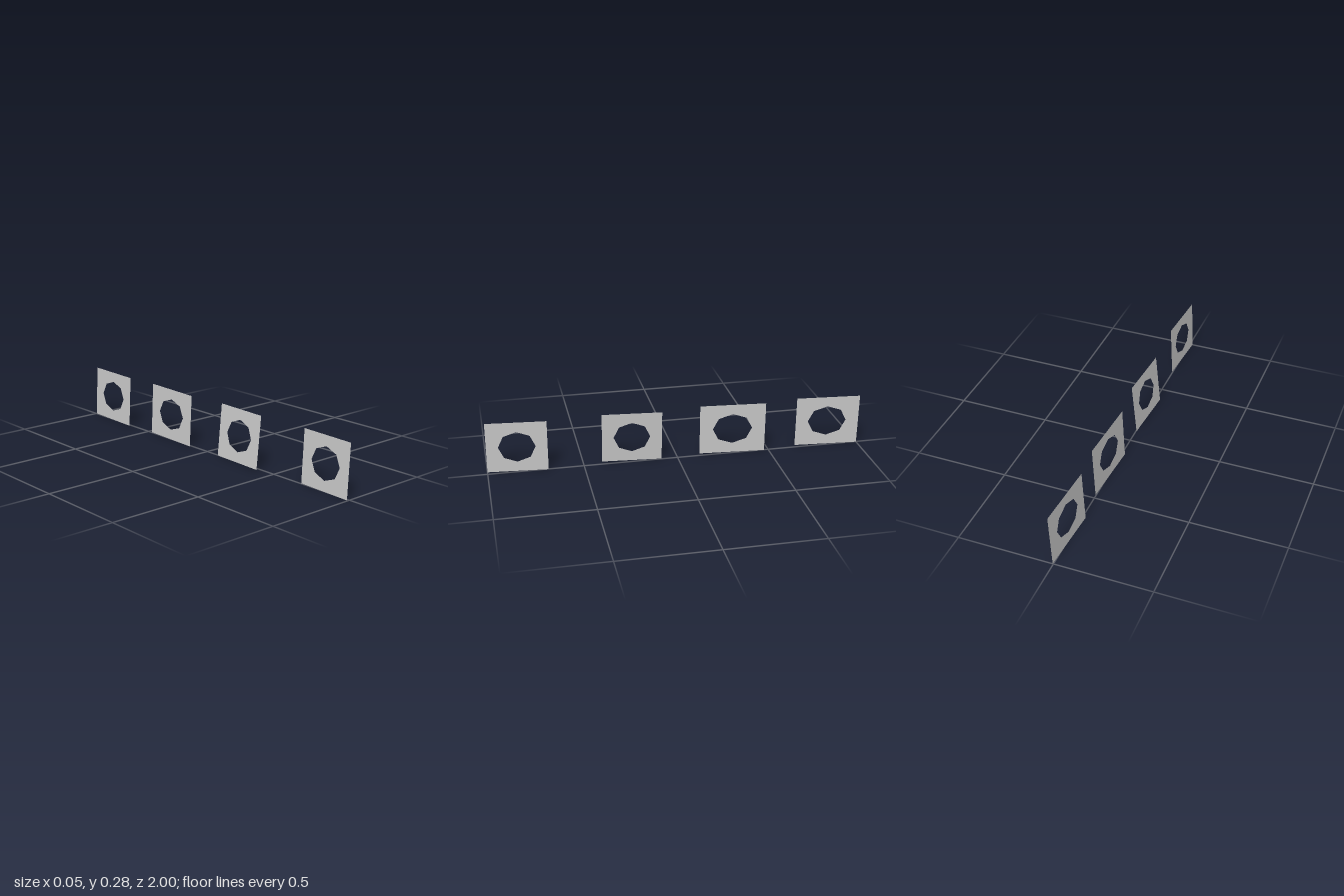
import * as THREE from 'three';

const HEIGHT = 0.278;
const MID_Y = 0.1405;

// Flat plate with an eight-sided opening, standing along z with a slight lean and twist
function makePlate({ name, front, back, holeZ, holeR, lean }, material) {
  const mid = (front + back) / 2;
  const w = front - back;
  const shape = new THREE.Shape([
    new THREE.Vector2(-w / 2, -HEIGHT / 2),
    new THREE.Vector2(w / 2, -HEIGHT / 2),
    new THREE.Vector2(w / 2, HEIGHT / 2),
    new THREE.Vector2(-w / 2, HEIGHT / 2),
  ]);
  const hole = [];
  for (let i = 0; i < 8; i++) {
    const a = -i * Math.PI / 4;
    hole.push(new THREE.Vector2(mid - holeZ + holeR * Math.cos(a), 0.085 * Math.sin(a)));
  }
  shape.holes.push(new THREE.Path(hole));

  // Stand the sheet in the z-y plane, then skew it
  const geometry = new THREE.ShapeGeometry(shape);
  const p = geometry.attributes.position;
  for (let i = 0; i < p.count; i++) {
    const u = p.getX(i), v = p.getY(i);
    p.setXYZ(i, 0.021 * u / w + lean * v / HEIGHT, MID_Y + v - 0.003 * u / w, mid - u);
  }
  geometry.computeVertexNormals();
  const mesh = new THREE.Mesh(geometry, material);
  mesh.name = name;
  return mesh;
}

export function createModel() {
  const group = new THREE.Group();
  group.name = 'plateRow';
  const material = new THREE.MeshStandardMaterial({
    color: 0xcccccc, side: THREE.DoubleSide, flatShading: true,
  });

  // Four plates in a row from front to back
  const plates = [
    { name: 'frontPlate', front: 1, back: 0.686, holeZ: 0.843, holeR: 0.096, lean: 0.014 },
    { name: 'frontMiddlePlate', front: 0.401, back: 0.086, holeZ: 0.244, holeR: 0.096, lean: 0.028 },
    { name: 'backMiddlePlate', front: -0.123, back: -0.476, holeZ: -0.299, holeR: 0.106, lean: 0.014 },
    { name: 'backPlate', front: -0.654, back: -1, holeZ: -0.825, holeR: 0.105, lean: 0.014 },
  ];
  for (const plate of plates) group.add(makePlate(plate, material));
  return group;
}
